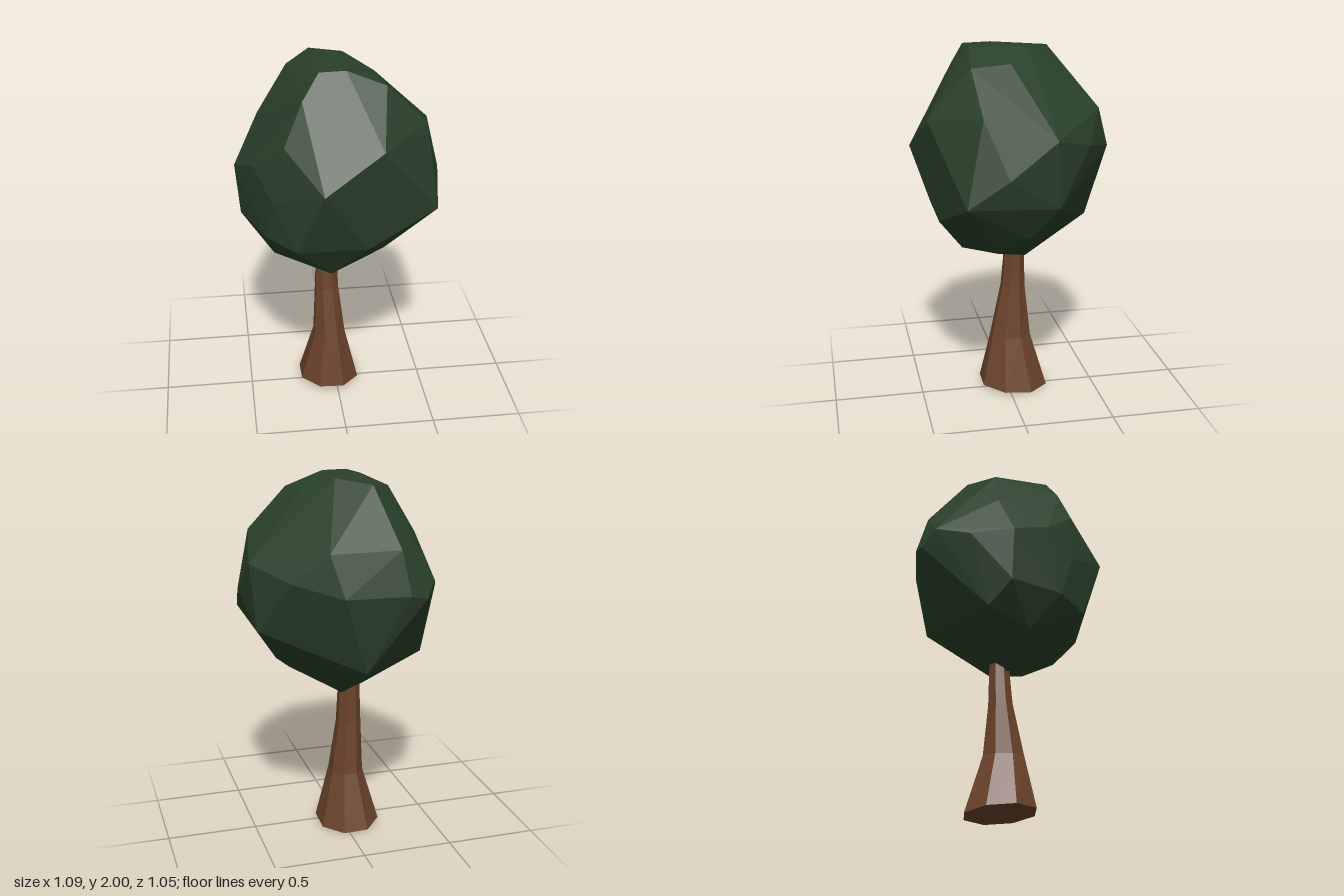
import * as THREE from 'three';
import { ConvexGeometry } from 'three/addons/geometries/ConvexGeometry.js';

// Trunk rings from the ground up: height, centre x, centre z, radius x, radius z
const trunkRings = [
  [0.015, -0.037, -0.04, 0.17, 0.19],
  [0.32, -0.033, -0.023, 0.09, 0.112],
  [0.62, -0.045, -0.04, 0.066, 0.066],
  [0.92, -0.045, -0.05, 0.055, 0.05],
];

// Crown corners in three tiers: x, y, z
const crownTop = [
  [-0.11, 2, 0.225], [0.03, 2, 0.215], [-0.14, 2, 0.07], [0.05, 2, -0.1],
  [-0.115, 1.98, -0.24], [-0.25, 1.95, -0.08], [0.235, 1.92, 0.235], [0.2, 1.93, 0.02],
  [-0.2, 1.87, 0.28], [0.455, 1.7, 0.21], [0.18, 1.68, -0.46], [-0.2, 1.68, -0.46],
  [-0.41, 1.69, -0.07], [0.195, 1.65, 0.46], [-0.3, 1.65, 0.34],
];
const crownMiddle = [
  [0.53, 1.59, -0.16], [0.36, 1.52, -0.37], [0.12, 1.46, -0.53], [-0.235, 1.45, -0.52],
  [-0.335, 1.42, -0.485], [-0.4, 1.5, -0.41], [-0.48, 1.43, -0.22], [-0.545, 1.43, 0.01],
  [-0.45, 1.5, 0.2], [-0.37, 1.35, 0.335], [-0.115, 1.45, 0.525], [0.545, 1.4, 0.09],
  [0.51, 1.25, 0.305], [0.5, 1.23, -0.18],
];
const crownBottom = [
  [-0.52, 1.14, 0], [-0.4, 1.12, 0.27], [-0.25, 1.08, 0.4], [0.13, 1.08, 0.4],
  [0.37, 1.03, -0.05], [-0.02, 1.03, -0.45], [-0.44, 1.02, -0.12], [-0.35, 0.93, 0.1],
  [0.26, 0.92, 0.1], [-0.05, 0.86, 0.25], [0.01, 0.81, -0.1], [-0.1, 0.8, 0],
];

function flatMesh(name, geometry, color) {
  const material = new THREE.MeshStandardMaterial({ color, flatShading: true });
  const mesh = new THREE.Mesh(geometry, material);
  mesh.name = name;
  return mesh;
}

// Eight-sided cylinder whose rings follow the flared, leaning profile
function trunkGeometry() {
  const last = trunkRings.length - 1;
  const geometry = new THREE.CylinderGeometry(1, 1, last, 8, last);
  geometry.rotateY(Math.PI / 8);
  const p = geometry.attributes.position;
  for (let i = 0; i < p.count; i++) {
    const ring = Math.round(p.getY(i) + last / 2);
    const [y, cx, cz, rx, rz] = trunkRings[ring];
    const x = cx + p.getX(i) * rx * 1.06;
    const z = cz + p.getZ(i) * rz * 1.06;
    // the foot is cut slightly askew
    const tilt = ring === 0 ? Math.max(-0.015, 0.08 * (z + 0.04) - 0.04 * (x + 0.04)) : 0;
    p.setXYZ(i, x, y + tilt, z);
  }
  const flat = geometry.toNonIndexed();
  flat.computeVertexNormals();
  return flat;
}

export function createModel() {
  const tree = new THREE.Group();
  tree.name = 'tree';
  const corners = [...crownTop, ...crownMiddle, ...crownBottom].map((c) => new THREE.Vector3(...c));
  tree.add(flatMesh('trunk', trunkGeometry(), 0x6b432b));
  tree.add(flatMesh('crown', new ConvexGeometry(corners), 0x2a4029));
  return tree;
}
